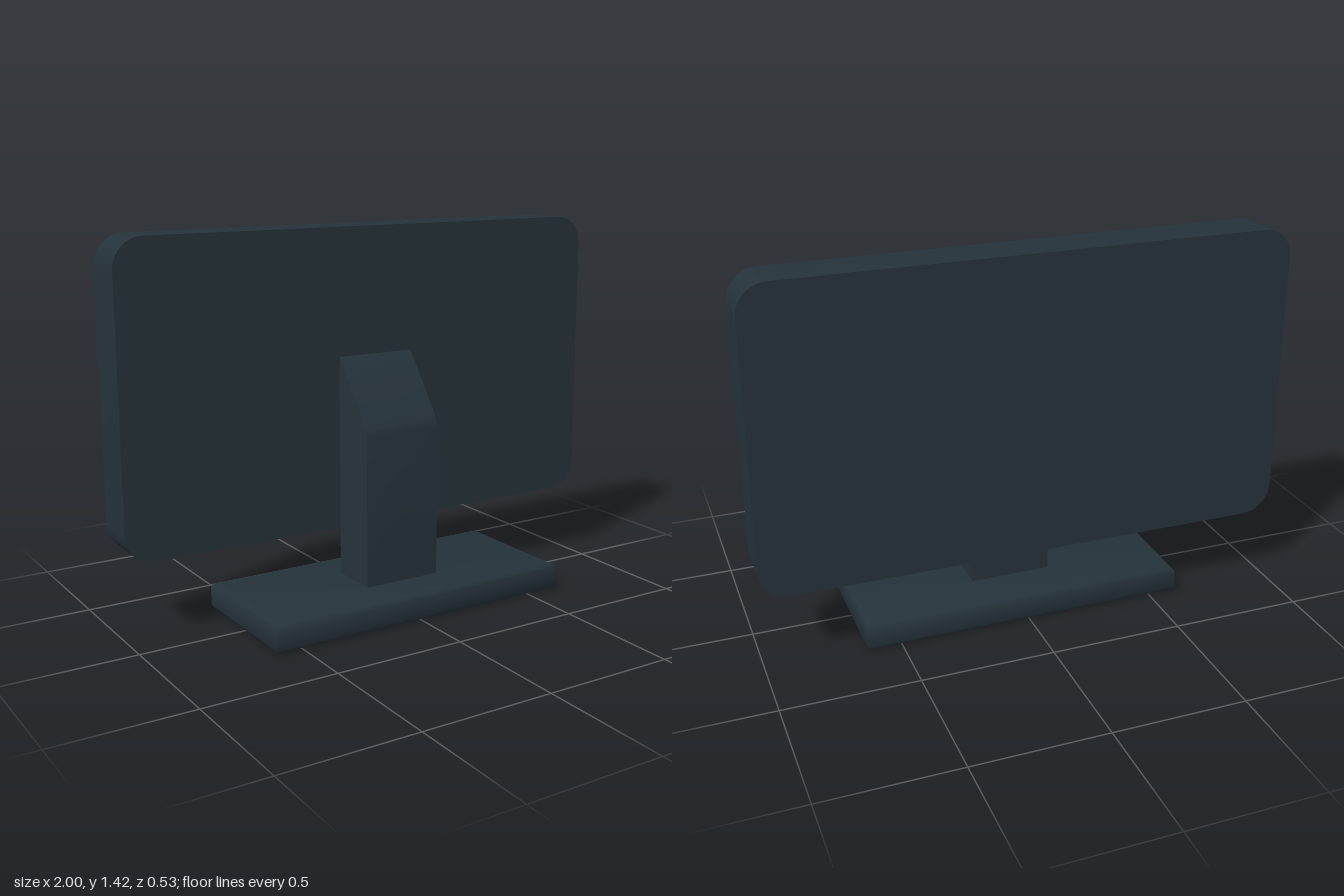
import * as THREE from 'three';
import { toCreasedNormals } from 'three/addons/utils/BufferGeometryUtils.js';

// Rounded rectangle outline for the display housing
function roundedRect(x0, y0, x1, y1, r) {
  const s = new THREE.Shape();
  s.moveTo(x0 + r, y0);
  s.lineTo(x1 - r, y0);
  s.absarc(x1 - r, y0 + r, r, -Math.PI / 2, 0);
  s.lineTo(x1, y1 - r);
  s.absarc(x1 - r, y1 - r, r, 0, Math.PI / 2);
  s.lineTo(x0 + r, y1);
  s.absarc(x0 + r, y1 - r, r, Math.PI / 2, Math.PI);
  s.lineTo(x0, y0 + r);
  s.absarc(x0 + r, y0 + r, r, Math.PI, Math.PI * 1.5);
  return s;
}

// Box shell from stacked rectangles [y, inset], closed on top, open below
function hollowBox(halfX, halfZ, sections) {
  const pos = [];
  const ring = ([y, inset]) => {
    const x = halfX - inset, z = halfZ - inset;
    return [[-x, y, z], [x, y, z], [x, y, -z], [-x, y, -z]];
  };
  const quad = (a, b, c, d) => pos.push(...a, ...b, ...c, ...a, ...c, ...d);
  const rings = sections.map(ring);
  for (let i = 0; i < rings.length - 1; i++) {
    const lo = rings[i], hi = rings[i + 1];
    for (let k = 0; k < 4; k++) {
      const n = (k + 1) % 4;
      quad(lo[k], lo[n], hi[n], hi[k]);
    }
  }
  quad(...rings[rings.length - 1]);
  const g = new THREE.BufferGeometry();
  g.setAttribute('position', new THREE.Float32BufferAttribute(pos, 3));
  g.computeVertexNormals();
  return g;
}

export function createModel() {
  const group = new THREE.Group();
  const charcoal = new THREE.MeshStandardMaterial({ color: 0x25323a, side: THREE.DoubleSide });
  charcoal.name = 'charcoal';

  const add = (name, geometry) => {
    const mesh = new THREE.Mesh(geometry, charcoal);
    mesh.name = name;
    group.add(mesh);
    return mesh;
  };

  // Display housing: a slab with rounded corners
  const panel = new THREE.ExtrudeGeometry(roundedRect(-1, 0.29, 1, 1.424, 0.11), {
    depth: 0.176, bevelEnabled: false, curveSegments: 5,
  });
  panel.translate(0, 0, -0.265);
  add('displayPanel', toCreasedNormals(panel, 0.6));

  // Stand column: side profile (depth, height) swept across its width
  const side = [
    [0.09, 0.1], [0.09, 0.947], [0.075, 0.937], [0, 0.84],
    [-0.08, 0.734], [-0.098, 0.703], [-0.104, 0.68], [-0.104, 0.1],
  ].map(([a, y]) => new THREE.Vector2(a, y));
  const column = new THREE.ExtrudeGeometry(new THREE.Shape(side), { depth: 0.31, bevelEnabled: false });
  column.rotateY(Math.PI / 2);
  column.translate(-0.14, 0, 0);
  add('standColumn', toCreasedNormals(column, 0.6));

  // Foot: hollow plate with softened top and bottom edges
  const foot = hollowBox(0.618, 0.265, [
    [0, 0.02], [0.006, 0.006], [0.018, 0], [0.088, 0], [0.1, 0.01], [0.106, 0.024],
  ]);
  add('standFoot', toCreasedNormals(foot, 0.75)).position.x = 0.013;

  return group;
}
